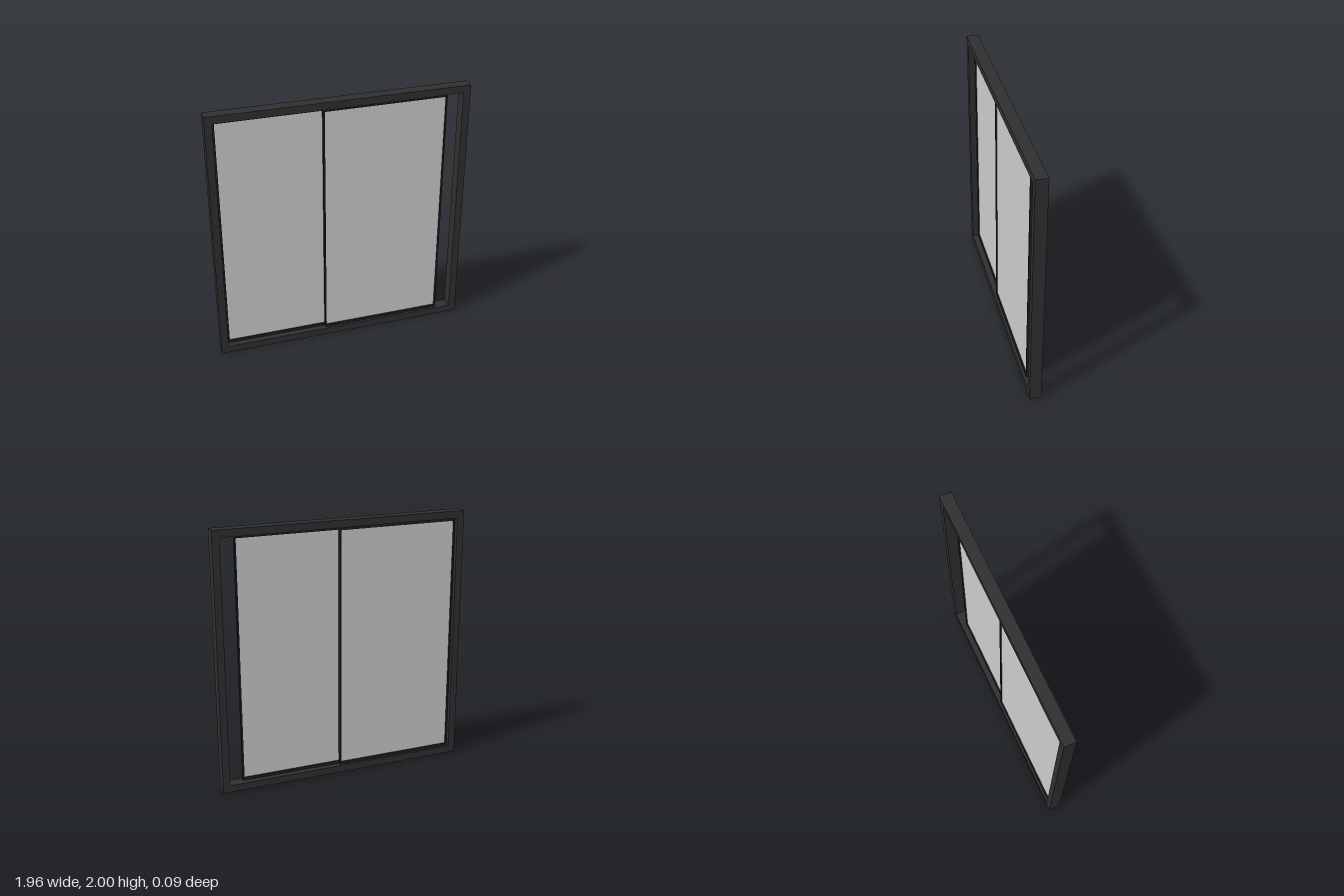
import * as THREE from 'three';

const frameMat = new THREE.MeshStandardMaterial({ color: 0x2f2f2f });
const sashMat = new THREE.MeshStandardMaterial({ color: 0x1f1f1f });
const glassMat = new THREE.MeshStandardMaterial({ color: 0xcccccc });

// Rectangular ring extruded along z and centred on the given z
function ring(name, [x0, x1, y0, y1], side, rail, depth, z, material) {
  const rect = (Type, a, b, c, d) => {
    const path = new Type();
    path.moveTo(a, c);
    path.lineTo(b, c);
    path.lineTo(b, d);
    path.lineTo(a, d);
    path.closePath();
    return path;
  };
  const shape = rect(THREE.Shape, x0, x1, y0, y1);
  shape.holes.push(rect(THREE.Path, x0 + side, x1 - side, y0 + rail, y1 - rail));
  const geometry = new THREE.ExtrudeGeometry(shape, { depth, bevelEnabled: false });
  geometry.translate(0, 0, z - depth / 2);
  const mesh = new THREE.Mesh(geometry, material);
  mesh.name = name;
  return mesh;
}

// Sliding panel: thin border around a glass pane
function sash(name, x0, x1, z) {
  const group = new THREE.Group();
  group.name = name;
  const y0 = 0.056, y1 = 1.944, side = 0.012, rail = 0.022;
  group.add(ring('sashBorder', [x0, x1, y0, y1], side, rail, 0.025, z, sashMat));
  const pane = new THREE.Mesh(
    new THREE.BoxGeometry(x1 - x0 - 2 * side, y1 - y0 - 2 * rail, 0.006), glassMat);
  pane.position.set((x0 + x1) / 2, (y0 + y1) / 2, z);
  pane.name = 'glassPane';
  group.add(pane);
  return group;
}

export function createModel() {
  const model = new THREE.Group();
  model.name = 'slidingWindow';

  // Outer frame
  model.add(ring('outerFrame', [-0.98, 0.98, 0, 2], 0.055, 0.056, 0.09, 0, frameMat));

  // Two overlapping panels on separate tracks
  model.add(sash('rearSash', -0.917, 0.028, -0.0135));
  model.add(sash('frontSash', -0.135, 0.81, 0.0135));

  return model;
}
